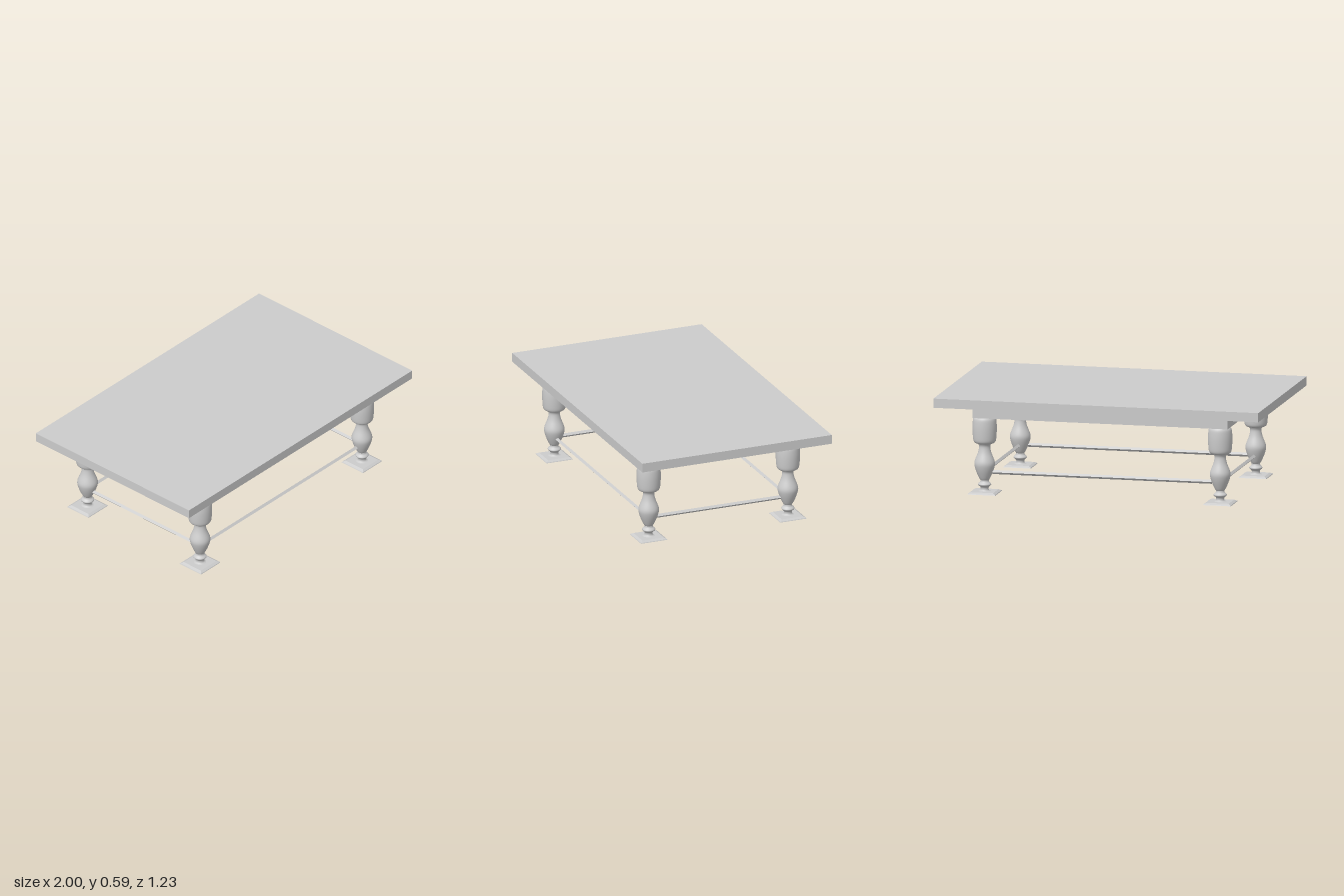
import * as THREE from 'three';

const material = new THREE.MeshStandardMaterial({ color: 0xcccccc });
const LEG_X = 0.725, LEG_Z = 0.452, OFFSET_Z = 0.006;

function add(parent, name, geometry, x = 0, y = 0, z = 0) {
  const mesh = new THREE.Mesh(geometry, material);
  mesh.name = name;
  mesh.position.set(x, y, z);
  parent.add(mesh);
  return mesh;
}

// Turned leg: foot collar, ring, vase-shaped belly, neck and barrel, as smooth runs
const collar = [[0.04, 0.011], [0.028, 0.016], [0.024, 0.025], [0.026, 0.036], [0.036, 0.045],
  [0.04, 0.052], [0.036, 0.059], [0.027, 0.068], [0.025, 0.078]];
const belly = [[0.025, 0.078], [0.034, 0.092], [0.05, 0.128], [0.06, 0.16], [0.062, 0.182],
  [0.056, 0.205], [0.042, 0.24], [0.035, 0.268], [0.034, 0.287], [0.041, 0.3]];
const barrel = [[0.041, 0.3], [0.057, 0.305], [0.067, 0.317], [0.071, 0.345], [0.073, 0.39],
  [0.072, 0.425], [0.069, 0.45], [0.062, 0.463]];

function turned(points) {
  const curve = new THREE.SplineCurve(points.map(([r, y]) => new THREE.Vector2(r, y)));
  return new THREE.LatheGeometry(curve.getPoints(24), 32);
}

// Four-sided block with different half widths at bottom and top
function plate(bottom, top, height) {
  const g = new THREE.CylinderGeometry(top * Math.SQRT2, bottom * Math.SQRT2, height, 4).toNonIndexed();
  g.rotateY(Math.PI / 4);
  g.computeVertexNormals();
  return g;
}

function makeLeg() {
  const leg = new THREE.Group();
  leg.name = 'leg';
  add(leg, 'footPlate', plate(0.086, 0.084, 0.004), 0, 0.002);
  add(leg, 'footBevel', plate(0.084, 0.069, 0.008), 0, 0.008);
  add(leg, 'collar', turned(collar));
  add(leg, 'belly', turned(belly));
  add(leg, 'barrel', turned(barrel));
  const cap = add(leg, 'barrelTop', new THREE.CircleGeometry(0.062, 32), 0, 0.463);
  cap.rotation.x = -Math.PI / 2;
  return leg;
}

// Rail lying along x, turned on edge so its section is a diamond
function rail(length) {
  return new THREE.BoxGeometry(length, 0.0175, 0.0175).rotateX(Math.PI / 4);
}

// Hollow rectangular frame under the top
function frame(halfX, halfZ, width, height) {
  const rect = (path, x, z) => path.moveTo(-x, -z).lineTo(x, -z).lineTo(x, z).lineTo(-x, z).closePath();
  const shape = rect(new THREE.Shape(), halfX, halfZ);
  shape.holes.push(rect(new THREE.Path(), halfX - width, halfZ - width));
  return new THREE.ExtrudeGeometry(shape, { depth: height, bevelEnabled: false }).rotateX(-Math.PI / 2);
}

export function createModel() {
  const table = new THREE.Group();
  table.name = 'table';

  add(table, 'tableTop', new THREE.BoxGeometry(2, 0.056, 1.23), 0, 0.563, 0);

  const base = new THREE.Group();
  base.name = 'base';
  base.position.z = OFFSET_Z;
  table.add(base);

  add(base, 'apron', frame(0.786, 0.515, 0.11, 0.072), 0, 0.463, 0);

  for (const sx of [-1, 1]) {
    for (const sz of [-1, 1]) {
      const leg = makeLeg();
      leg.position.set(sx * LEG_X, 0, sz * LEG_Z);
      base.add(leg);
    }
  }

  // Stretchers joining the legs on all four sides
  for (const s of [-1, 1]) {
    add(base, 'longStretcher', rail(1.35), 0, 0.128, s * LEG_Z);
    add(base, 'shortStretcher', rail(0.81), s * LEG_X, 0.128, 0).rotation.y = Math.PI / 2;
  }
  return table;
}
